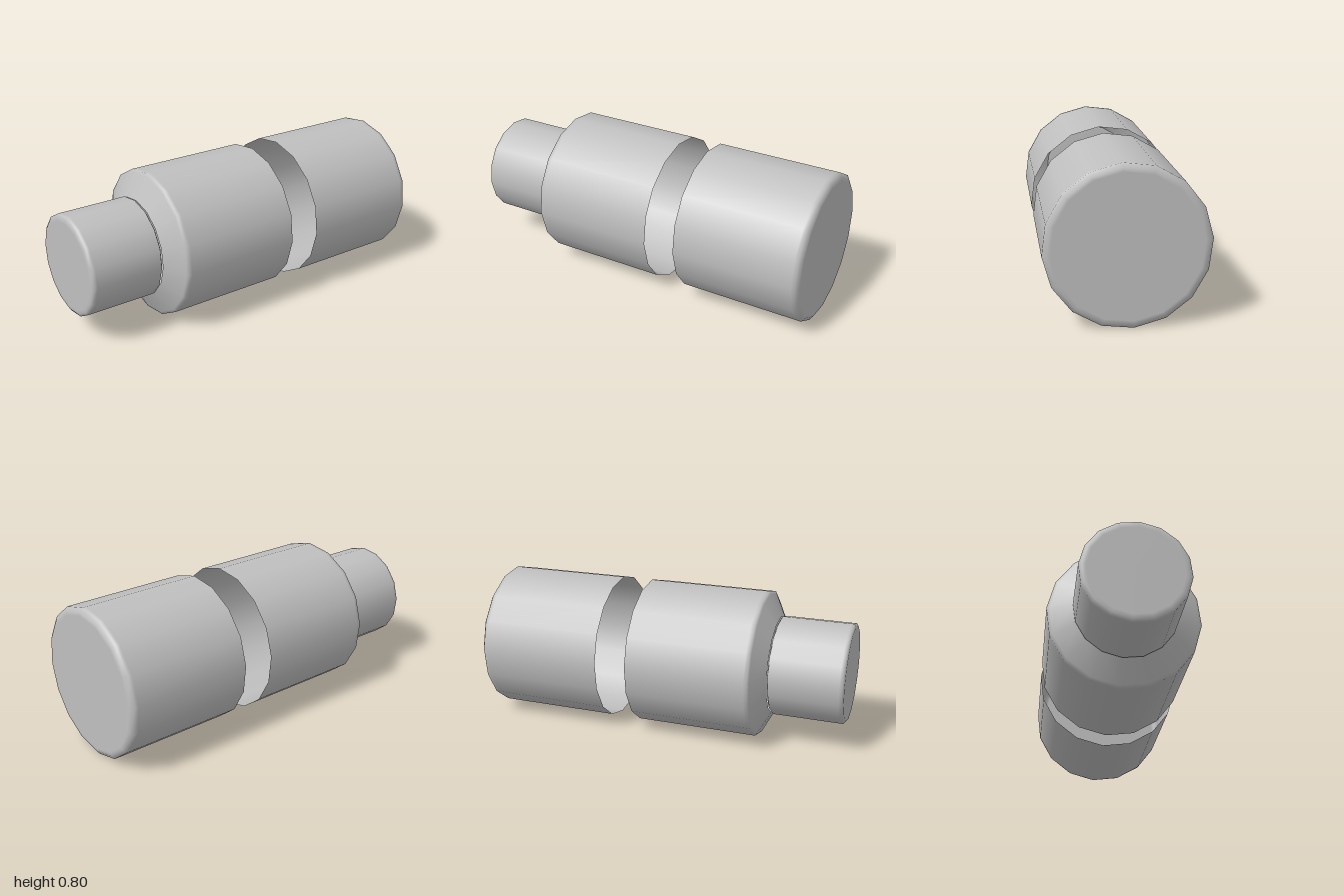
import * as THREE from 'three';

const SIDES = 16;
const TWIST = -4.3 * Math.PI / 180;

// Sweeps a [radius, z] profile, listed from back to front, around the z axis.
function turned(name, profile, material) {
  const points = profile.map(([r, z]) => new THREE.Vector2(r, z));
  const geometry = new THREE.LatheGeometry(points, SIDES, TWIST, Math.PI * 2);
  geometry.rotateX(Math.PI / 2);
  geometry.translate(0, 0.4, 0);
  const mesh = new THREE.Mesh(geometry, material);
  mesh.name = name;
  return mesh;
}

export function createModel() {
  const grey = new THREE.MeshStandardMaterial({ color: 0xc0c0c0, side: THREE.DoubleSide });
  grey.name = 'plain grey';

  const model = new THREE.Group();
  model.name = 'canister';

  // Rear cup: closed at the back with a small bevel, open towards the gap
  model.add(turned('rearCup', [
    [0, -1], [0.36, -1], [0.378, -1], [0.4, -0.985], [0.4, -0.965], [0.4, -0.31],
  ], grey));

  // Front sleeve: open towards the gap, sloping in to the neck
  model.add(turned('frontSleeve', [
    [0.4, -0.14], [0.4, 0.51], [0.4, 0.53], [0.385, 0.538], [0.265, 0.6],
  ], grey));

  // Neck: bevelled at both ends
  model.add(turned('neck', [
    [0, 0.6], [0.255, 0.6], [0.27, 0.61], [0.27, 0.975], [0.27, 0.99],
    [0.255, 1], [0.235, 1], [0, 1],
  ], grey));

  return model;
}
